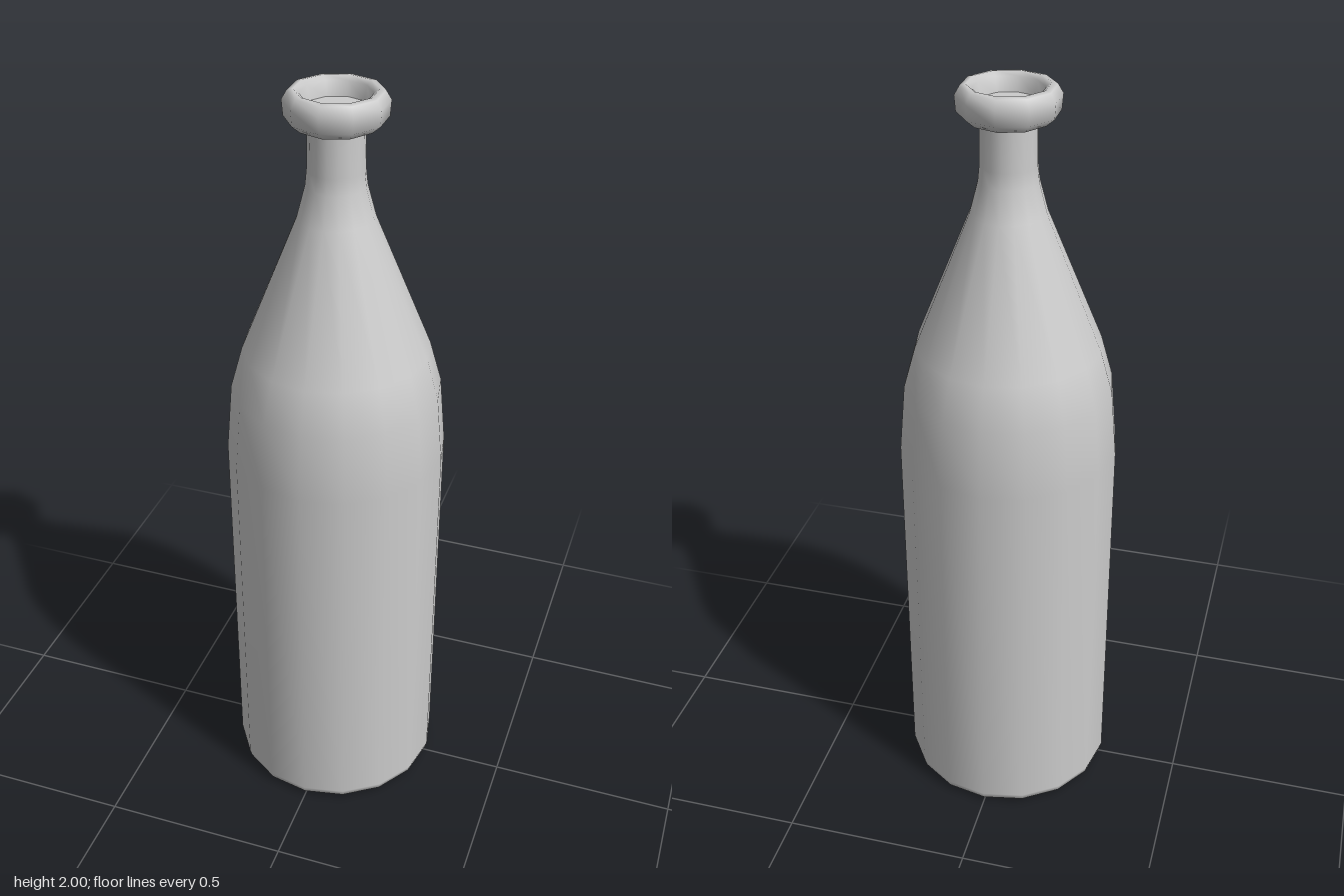
import * as THREE from 'three';

const material = new THREE.MeshStandardMaterial({ color: 0xcccccc });

// Revolve a [radius, height] profile, listed from bottom to top on the outside
function lathe(name, profile, sides) {
  const points = profile.map(([r, y]) => new THREE.Vector2(r, y));
  const mesh = new THREE.Mesh(new THREE.LatheGeometry(points, sides), material);
  mesh.name = name;
  return mesh;
}

// Flat horizontal disc facing up or down
function disc(name, radius, y, sides, up) {
  const geometry = new THREE.CircleGeometry(radius, sides, Math.PI / 2);
  geometry.rotateX(up ? -Math.PI / 2 : Math.PI / 2);
  const mesh = new THREE.Mesh(geometry, material);
  mesh.name = name;
  mesh.position.y = y;
  return mesh;
}

export function createModel() {
  const bottle = new THREE.Group();
  bottle.name = 'bottle';

  // Cylindrical body, sloping shoulder and narrow neck
  bottle.add(lathe('body', [
    [0.262, 0], [0.279, 0.012], [0.284, 0.03], [0.284, 1.05],
    [0.268, 1.23], [0.237, 1.34], [0.095, 1.69],
    [0.074, 1.77], [0.07, 1.81], [0.068, 1.93],
  ], 16));
  bottle.add(disc('base', 0.262, 0, 16, false));

  // Rounded rim that folds over into the mouth
  bottle.add(lathe('lip', [
    [0.066, 1.915], [0.1, 1.918], [0.122, 1.937], [0.125, 1.975],
    [0.112, 1.997], [0.098, 2], [0.085, 1.99], [0.077, 1.955],
  ], 10));

  // Shallow floor closing the mouth
  bottle.add(disc('mouthFloor', 0.077, 1.955, 10, true));

  return bottle;
}
